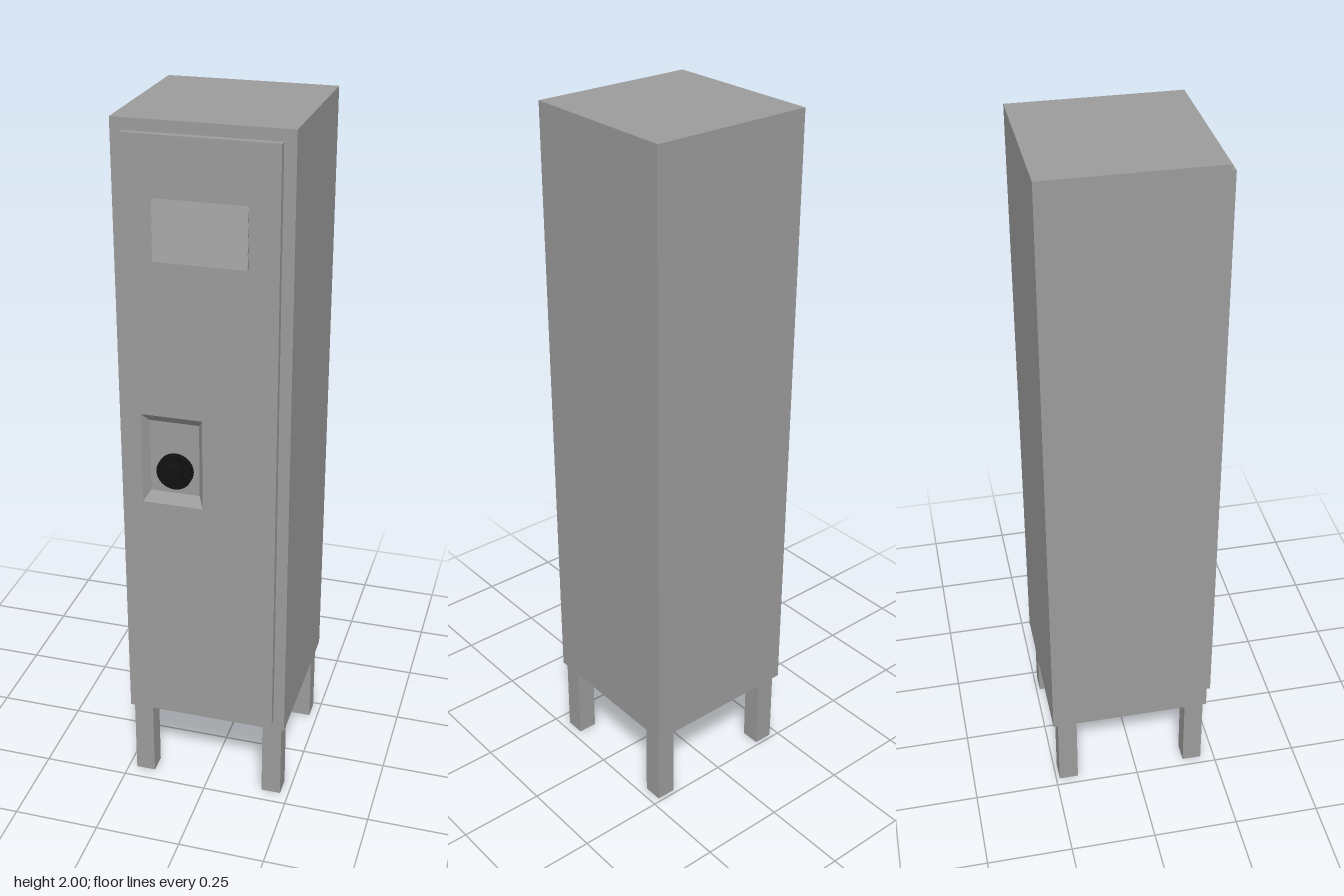
import * as THREE from 'three';

const grey = new THREE.MeshStandardMaterial({ color: 0x9b9b9b });
const black = new THREE.MeshStandardMaterial({ color: 0x111111 });

// Lock recess: outer opening, inner floor and depths
const OUT = { x0: -0.17, x1: 0, y0: 0.954, y1: 1.218, z: 0.236 };
const INN = { x0: -0.154, x1: -0.016, y0: 0.979, y1: 1.191, z: 0.21 };
const BODY_FRONT = 0.216;

const corners = (r) => [[r.x0, r.y0], [r.x1, r.y0], [r.x1, r.y1], [r.x0, r.y1]];
const rectPoints = (r) => corners(r).map(([x, y]) => new THREE.Vector2(x, y));

// Rectangle with the lock opening cut out
function panelShape(x0, y0, x1, y1) {
  const shape = new THREE.Shape(rectPoints({ x0, y0, x1, y1 }));
  shape.holes.push(new THREE.Path(rectPoints(OUT).reverse()));
  return shape;
}

// Sloping walls and floor of the recess
function recessGeometry() {
  const a = corners(OUT).map((p) => [...p, OUT.z]);
  const b = corners(INN).map((p) => [...p, INN.z]);
  const pos = [];
  const quad = (p, q, r, s) => pos.push(...p, ...q, ...r, ...p, ...r, ...s);
  for (let i = 0; i < 4; i++) {
    const j = (i + 1) % 4;
    quad(a[i], a[j], b[j], b[i]);
  }
  quad(...b);
  const geo = new THREE.BufferGeometry();
  geo.setAttribute('position', new THREE.Float32BufferAttribute(pos, 3));
  geo.computeVertexNormals();
  return geo;
}

export function createModel() {
  const group = new THREE.Group();
  const add = (name, geo, x = 0, y = 0, z = 0, material = grey) => {
    const mesh = new THREE.Mesh(geo, material);
    mesh.name = name;
    mesh.position.set(x, y, z);
    group.add(mesh);
  };

  // Cabinet: a box whose front side is replaced by a panel with the lock opening
  const box = new THREE.BoxGeometry(0.47, 1.76, 0.47);
  const index = Array.from(box.index.array);
  index.splice(24, 6);
  box.setIndex(index);
  box.clearGroups();
  add('cabinet', box, 0, 1.12, -0.019);
  add('cabinetFront', new THREE.ShapeGeometry(panelShape(-0.235, 0.24, 0.235, 2)), 0, 0, BODY_FRONT);

  // Door
  add('door', new THREE.ExtrudeGeometry(panelShape(-0.203, 0.271, 0.203, 1.969),
    { depth: 0.02, bevelEnabled: false }), 0, 0, BODY_FRONT);
  add('lockRecess', recessGeometry());

  // Vent louvres: wedges that lean out towards the bottom, extruded towards -x
  const wedge = new THREE.Shape([
    new THREE.Vector2(0, 0), new THREE.Vector2(0.012, 0), new THREE.Vector2(0, 0.04),
  ]);
  const louvre = new THREE.ExtrudeGeometry(wedge, { depth: 0.248, bevelEnabled: false });
  louvre.rotateY(-Math.PI / 2);
  for (let i = 0; i < 4; i++) add('ventLouvre', louvre, 0.124, 1.651 + i * 0.04, OUT.z);

  // Combination dial: wide base with a smaller knob
  const dial = (name, radius, z0, z1) => {
    const geo = new THREE.CylinderGeometry(radius, radius, z1 - z0, 32);
    geo.rotateX(Math.PI / 2);
    add(name, geo, -0.082, 1.05, (z0 + z1) / 2, black);
  };
  dial('dialBase', 0.05, INN.z, 0.229);
  dial('dialKnob', 0.027, 0.229, 0.254);

  // Legs
  const leg = new THREE.BoxGeometry(0.057, 0.24, 0.057);
  for (const x of [-0.197, 0.197]) {
    for (const z of [0.18, -0.211]) add('leg', leg, x, 0.12, z);
  }

  return group;
}
